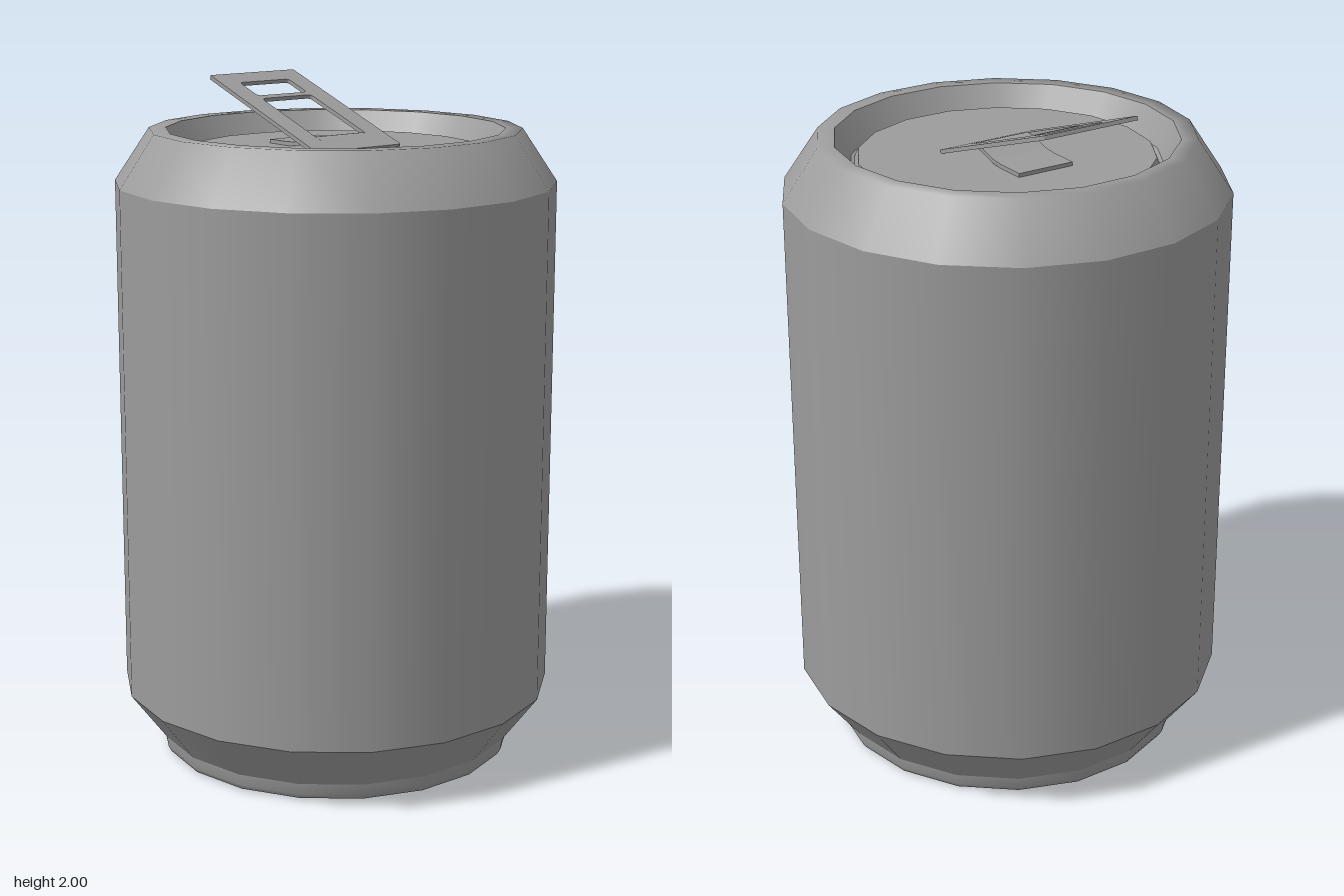
import * as THREE from 'three';

const SIDES = 18;
const grey = new THREE.MeshStandardMaterial({ color: 0x9c9c9c });

// One smooth band of the can; separate bands keep the edges between them sharp.
function band(name, profile) {
  const points = profile.map(([r, y]) => new THREE.Vector2(r, y));
  const geometry = new THREE.LatheGeometry(points, SIDES, Math.PI / SIDES, Math.PI * 2);
  geometry.normalizeNormals();
  const mesh = new THREE.Mesh(geometry, grey);
  mesh.name = name;
  return mesh;
}

// Rounded rectangle centred on x = 0, spanning y0 to y1.
function roundedRect(path, halfWidth, y0, y1, r) {
  const w = halfWidth;
  path.moveTo(-w + r, y0);
  path.lineTo(w - r, y0);
  path.quadraticCurveTo(w, y0, w, y0 + r);
  path.lineTo(w, y1 - r);
  path.quadraticCurveTo(w, y1, w - r, y1);
  path.lineTo(-w + r, y1);
  path.quadraticCurveTo(-w, y1, -w, y1 - r);
  path.lineTo(-w, y0 + r);
  path.quadraticCurveTo(-w, y0, -w + r, y0);
  return path;
}

function createPullTab() {
  const tab = new THREE.Group();
  tab.name = 'pullTab';

  // Tilted plate with a finger hole and a window
  const tilt = THREE.MathUtils.degToRad(19.4);
  const length = 0.51 / Math.cos(tilt);
  const shape = roundedRect(new THREE.Shape(), 0.156, 0, length, 0.006);
  shape.holes.push(roundedRect(new THREE.Path(), 0.091, 0.382, 0.477, 0.014));
  shape.holes.push(roundedRect(new THREE.Path(), 0.091, 0.079, 0.361, 0.014));
  const plateGeometry = new THREE.ExtrudeGeometry(shape, { depth: 0.012, bevelEnabled: false, curveSegments: 4 });
  const plate = new THREE.Mesh(plateGeometry, grey);
  plate.name = 'tabPlate';
  plate.rotation.x = tilt - Math.PI / 2;
  plate.position.set(0, 1.808, 0.105);
  tab.add(plate);

  // Tongue leaving the plate flush, then bending down onto the lid: (z, y) steps
  const bend = new THREE.CatmullRomCurve3([
    [0.09, 1.82], [0.06, 1.8305], [0.03, 1.841], [0, 1.841], [-0.04, 1.829], [-0.08, 1.82], [-0.195, 1.817],
  ].map(([z, y]) => new THREE.Vector3(0, y, z)));
  const tongueGeometry = new THREE.BoxGeometry(0.18, 0.012, 1, 1, 1, 24);
  const pos = tongueGeometry.attributes.position;
  for (let i = 0; i < pos.count; i++) {
    const p = bend.getPoint(0.5 - pos.getZ(i));
    pos.setY(i, pos.getY(i) + p.y);
    pos.setZ(i, p.z);
  }
  tongueGeometry.computeVertexNormals();
  const tongue = new THREE.Mesh(tongueGeometry, grey);
  tongue.name = 'tabTongue';
  tab.add(tongue);
  return tab;
}

export function createModel() {
  const can = new THREE.Group();
  can.name = 'drinkCan';

  // Recessed base inside a rounded standing ring
  can.add(band('baseDisc', [[0, 0.052], [0.467, 0.052]]));
  can.add(band('baseInnerWall', [[0.467, 0.052], [0.498, 0.003]]));
  can.add(band('baseRing', [
    [0.498, 0.003], [0.508, 0], [0.523, 0.006], [0.532, 0.022], [0.537, 0.055],
  ]));
  can.add(band('lowerTaper', [[0.537, 0.055], [0.643, 0.197]]));

  // Body and shoulder
  can.add(band('bodyWall', [[0.643, 0.197], [0.643, 1.715]]));
  can.add(band('shoulderAndRim', [[0.643, 1.715], [0.541, 1.868], [0.492, 1.868]]));

  // Recessed lid with a shallow groove around a raised panel
  can.add(band('rimInnerWall', [[0.492, 1.868], [0.447, 1.79]]));
  can.add(band('lidGroove', [[0.447, 1.79], [0.437, 1.786]]));
  can.add(band('panelEdge', [[0.437, 1.786], [0.425, 1.812]]));
  can.add(band('lidPanel', [[0.425, 1.812], [0, 1.812]]));

  can.add(createPullTab());
  return can;
}
